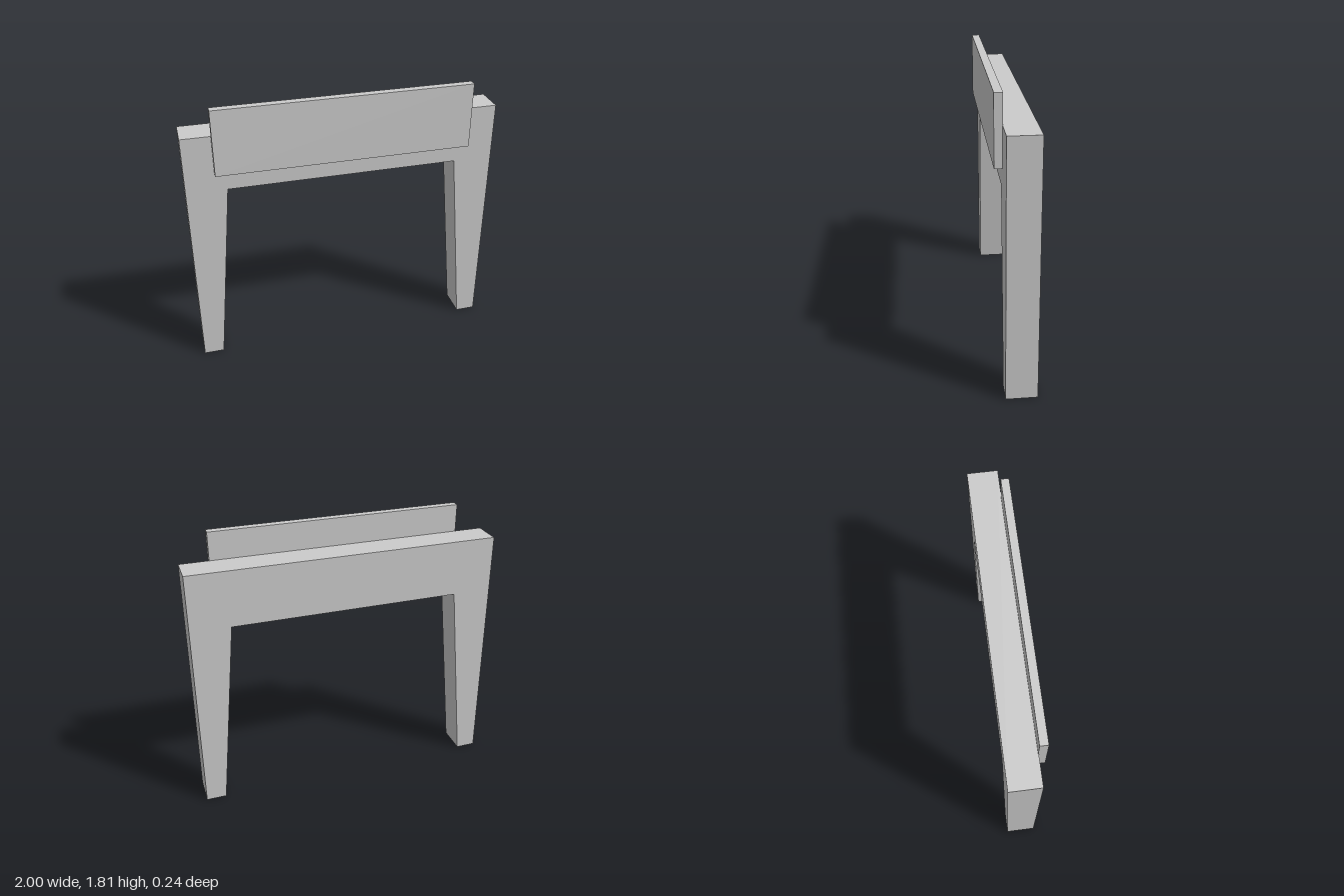
import * as THREE from 'three';

export function createModel() {
  const model = new THREE.Group();
  model.name = 'gateway';
  const material = new THREE.MeshStandardMaterial({ color: 0xcccccc, flatShading: true });

  const back = -0.12, frameFront = 0.073, front = 0.12;

  // Portal frame: straight outer sides, legs tapering towards the feet
  const half = [[0.87, 0], [1, 0], [1, 1.63]];
  const inner = [0.743, 1.265];
  const right = [inner, ...half];
  const left = right.map(([x, y]) => [-x, y]).reverse();
  const outline = new THREE.Shape([...right, ...left].map(([x, y]) => new THREE.Vector2(x, y)));
  const frameGeometry = new THREE.ExtrudeGeometry(outline, { depth: frameFront - back, bevelEnabled: false });
  frameGeometry.translate(0, 0, back);
  const frame = new THREE.Mesh(frameGeometry, material);
  frame.name = 'portalFrame';

  // Sign board fixed to the front of the beam, rising above it
  const bottom = 1.385, top = 1.81, boardBack = 0.07;
  const board = new THREE.Mesh(new THREE.BoxGeometry(1.63, top - bottom, front - boardBack), material);
  board.position.set(0, (top + bottom) / 2, (front + boardBack) / 2);
  board.name = 'signBoard';

  model.add(frame, board);
  return model;
}
